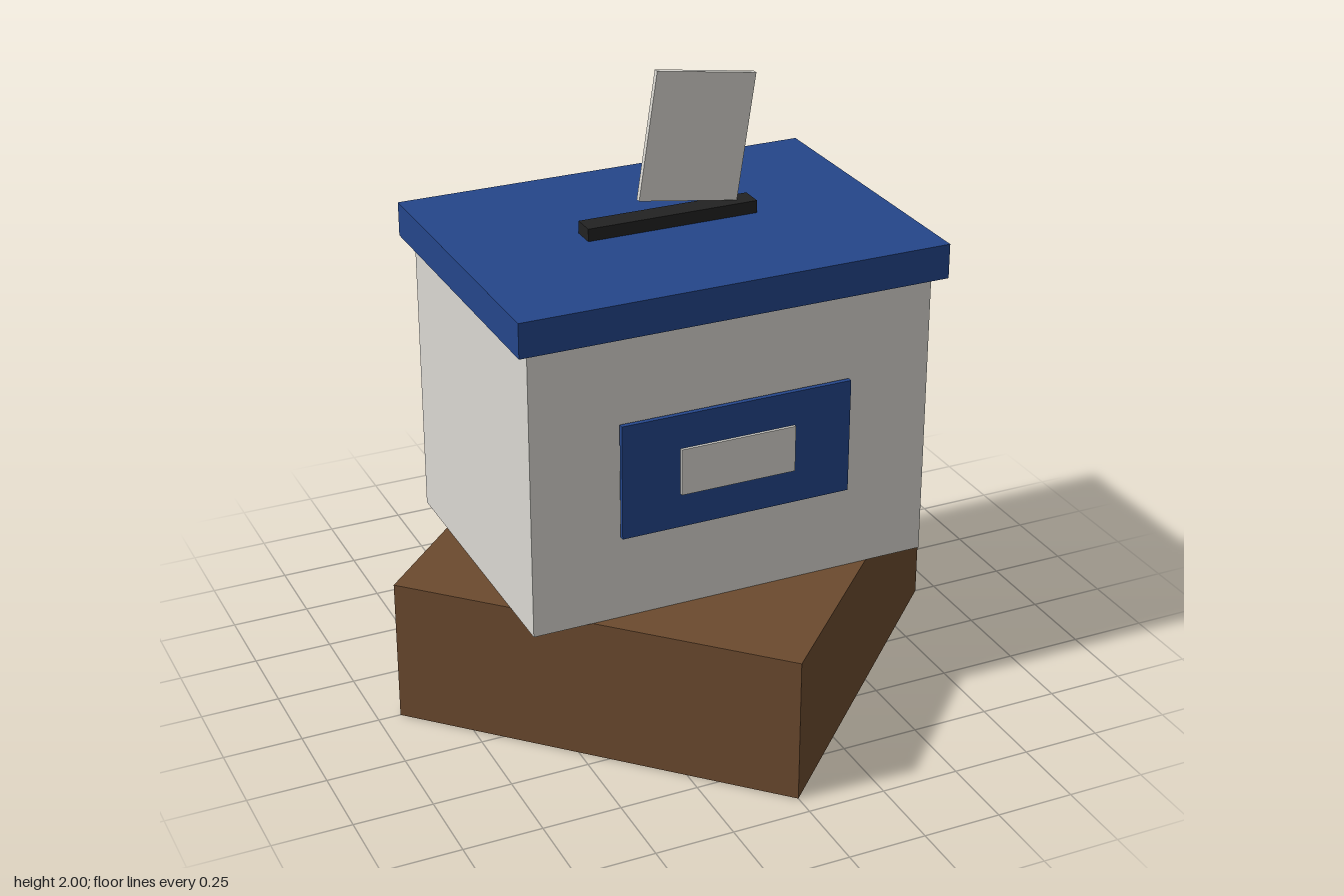
import * as THREE from 'three';

const mat = (name, color, flatShading = false) => {
  const m = new THREE.MeshStandardMaterial({ color, flatShading });
  m.name = name;
  return m;
};

export function createModel() {
  const group = new THREE.Group();
  group.name = 'ballotBox';

  const brown = mat('brown wood', 0x6b4a2e, true);
  const white = mat('off white', 0xdad8d2);
  const blue = mat('blue', 0x24468a);
  const black = mat('black', 0x222222);

  const add = (name, geometry, material, x, y, z) => {
    const mesh = new THREE.Mesh(geometry, material);
    mesh.name = name;
    mesh.position.set(x, y, z);
    group.add(mesh);
    return mesh;
  };
  const box = (name, w, h, d, material, x, y, z) =>
    add(name, new THREE.BoxGeometry(w, h, d), material, x, y, z);

  // Four-sided pedestal with its corners on the axes
  add('pedestal', new THREE.CylinderGeometry(0.928, 0.928, 0.47, 4), brown, 0, 0.235, 0);

  // Box and overhanging lid
  box('body', 1.305, 0.93, 0.93, white, 0, 0.935, 0);
  box('lid', 1.38, 0.11, 1.005, blue, 0, 1.455, 0);

  // Slot rim and the tilted paper above it
  box('slotRim', 0.56, 0.04, 0.074, black, 0, 1.53, 0);
  const paper = box('ballotPaper', 0.33, 0.405, 0.018, white, 0.092, 1.775, 0);
  paper.rotation.z = -0.15;

  // Front panel standing just off the body, with its label
  box('frontPanel', 0.75, 0.37, 0.016, blue, 0, 0.935, 0.485);
  box('frontLabel', 0.375, 0.15, 0.009, white, 0, 0.935, 0.4975);

  return group;
}
